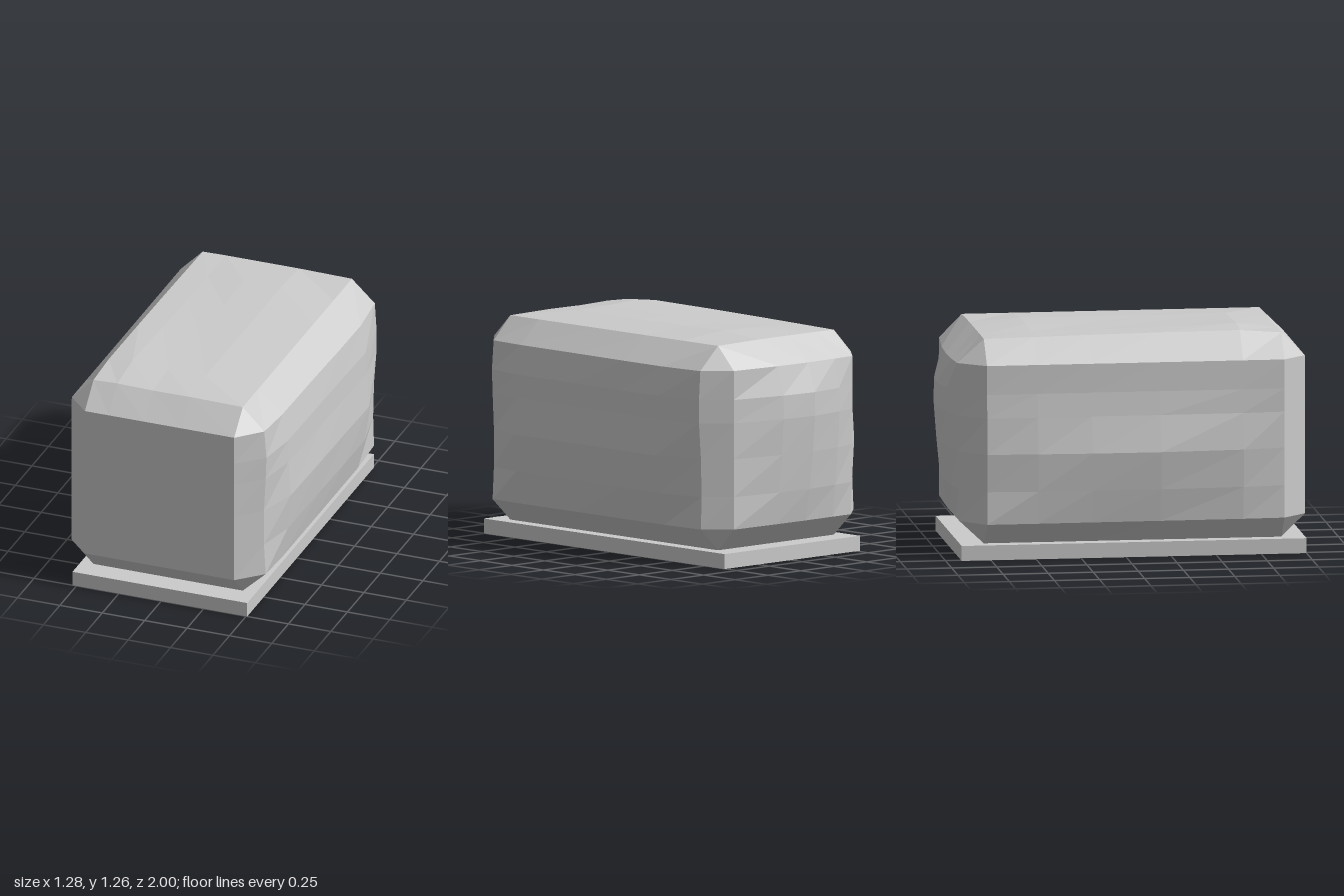
import * as THREE from 'three';

// Grid stations across, up and along the bale
const X = [-0.45, -0.31, -0.1, 0.12, 0.43];
const Y = [0.21, 0.39, 0.6, 0.8, 0.93, 1.09];
const Z = [0.87, 0.64, 0.18, -0.2, -0.5, -0.78];
const BOTTOM = 0.083, FRONT = 1;

// Lumpy faces: x of the two sides [z][y], y of the top [z][x], z of the back [y][x]
const leftSide = [
  [0.565, 0.555, 0.555, 0.565, 0.57, 0.557],
  [0.575, 0.605, 0.625, 0.61, 0.605, 0.575],
  [0.575, 0.61, 0.632, 0.615, 0.61, 0.58],
  [0.575, 0.615, 0.635, 0.62, 0.615, 0.588],
  [0.575, 0.615, 0.64, 0.625, 0.62, 0.59],
  [0.56, 0.555, 0.56, 0.575, 0.575, 0.565],
];
const rightSide = [
  [-0.58, -0.58, -0.58, -0.58, -0.58, -0.578],
  [-0.59, -0.605, -0.62, -0.595, -0.585, -0.578],
  [-0.595, -0.622, -0.645, -0.602, -0.585, -0.578],
  [-0.597, -0.62, -0.64, -0.6, -0.583, -0.578],
  [-0.6, -0.615, -0.625, -0.598, -0.582, -0.578],
  [-0.6, -0.59, -0.605, -0.59, -0.58, -0.578],
];
const top = [
  [1.22, 1.225, 1.22, 1.222, 1.217],
  [1.238, 1.256, 1.245, 1.24, 1.217],
  [1.235, 1.24, 1.238, 1.238, 1.217],
  [1.23, 1.233, 1.235, 1.238, 1.217],
  [1.225, 1.23, 1.24, 1.243, 1.217],
  [1.22, 1.222, 1.222, 1.222, 1.217],
];
const back = [
  [-0.915, -0.915, -0.918, -0.915, -0.905],
  [-0.92, -0.94, -0.955, -0.945, -0.905],
  [-0.925, -0.96, -0.98, -0.965, -0.905],
  [-0.93, -0.972, -0.998, -0.98, -0.908],
  [-0.93, -0.968, -0.995, -0.975, -0.908],
  [-0.928, -0.938, -0.943, -0.935, -0.905],
];

// Closed loop of points: bottom, left side, top, right side
function ring(bottomPt, leftPt, topPt, rightPt) {
  return [
    ...X.map((_, i) => bottomPt(i)),
    ...Y.map((_, j) => leftPt(j)),
    ...X.map((_, i) => topPt(X.length - 1 - i)),
    ...Y.map((_, j) => rightPt(Y.length - 1 - j)),
  ];
}

// The end panel's outline as a ring; its corners double up to form the corner facets
function endRing(zAt) {
  const nx = X.length - 1, ny = Y.length - 1;
  const p = (i, j) => [X[i], Y[j], zAt(i, j)];
  return ring(i => p(i, 0), j => p(nx, j), i => p(i, ny), j => p(0, j));
}

function baleGeometry() {
  const pos = [];
  const tri = (a, b, c) => pos.push(...a, ...b, ...c);
  const quad = (a, b, c, d) => { tri(a, b, c); tri(a, c, d); };
  const frontZ = () => FRONT;
  const backZ = (i, j) => back[j][i];

  // Skin: front chamfer, body and back chamfer
  const rings = [
    endRing(frontZ),
    ...Z.map((z, k) => ring(
      i => [X[i], BOTTOM, z],
      j => [leftSide[k][j], Y[j], z],
      i => [X[i], top[k][i], z],
      j => [rightSide[k][j], Y[j], z])),
    endRing(backZ),
  ];
  for (let r = 0; r < rings.length - 1; r++) {
    const a = rings[r], b = rings[r + 1];
    for (let i = 0; i < a.length; i++) {
      const n = (i + 1) % a.length;
      quad(a[i], b[i], b[n], a[n]);
    }
  }

  // Flat front panel and bulging back panel
  for (let i = 0; i < X.length - 1; i++) {
    for (let j = 0; j < Y.length - 1; j++) {
      const cell = zAt => [[i, j], [i + 1, j], [i + 1, j + 1], [i, j + 1]]
        .map(([u, v]) => [X[u], Y[v], zAt(u, v)]);
      quad(...cell(frontZ));
      quad(...cell(backZ).reverse());
    }
  }
  const geo = new THREE.BufferGeometry();
  geo.setAttribute('position', new THREE.Float32BufferAttribute(pos, 3));
  geo.computeVertexNormals();
  return geo;
}

export function createModel() {
  const group = new THREE.Group();
  const material = new THREE.MeshStandardMaterial({ color: 0xcccccc, flatShading: true });

  const bale = new THREE.Mesh(baleGeometry(), material);
  bale.name = 'bale';

  // Flat board under the bale
  const base = new THREE.Mesh(new THREE.BoxGeometry(1.03, 0.083, 1.913), material);
  base.name = 'baseBoard';
  base.position.set(-0.008, 0.0415, 0.0435);

  group.add(bale, base);
  return group;
}
